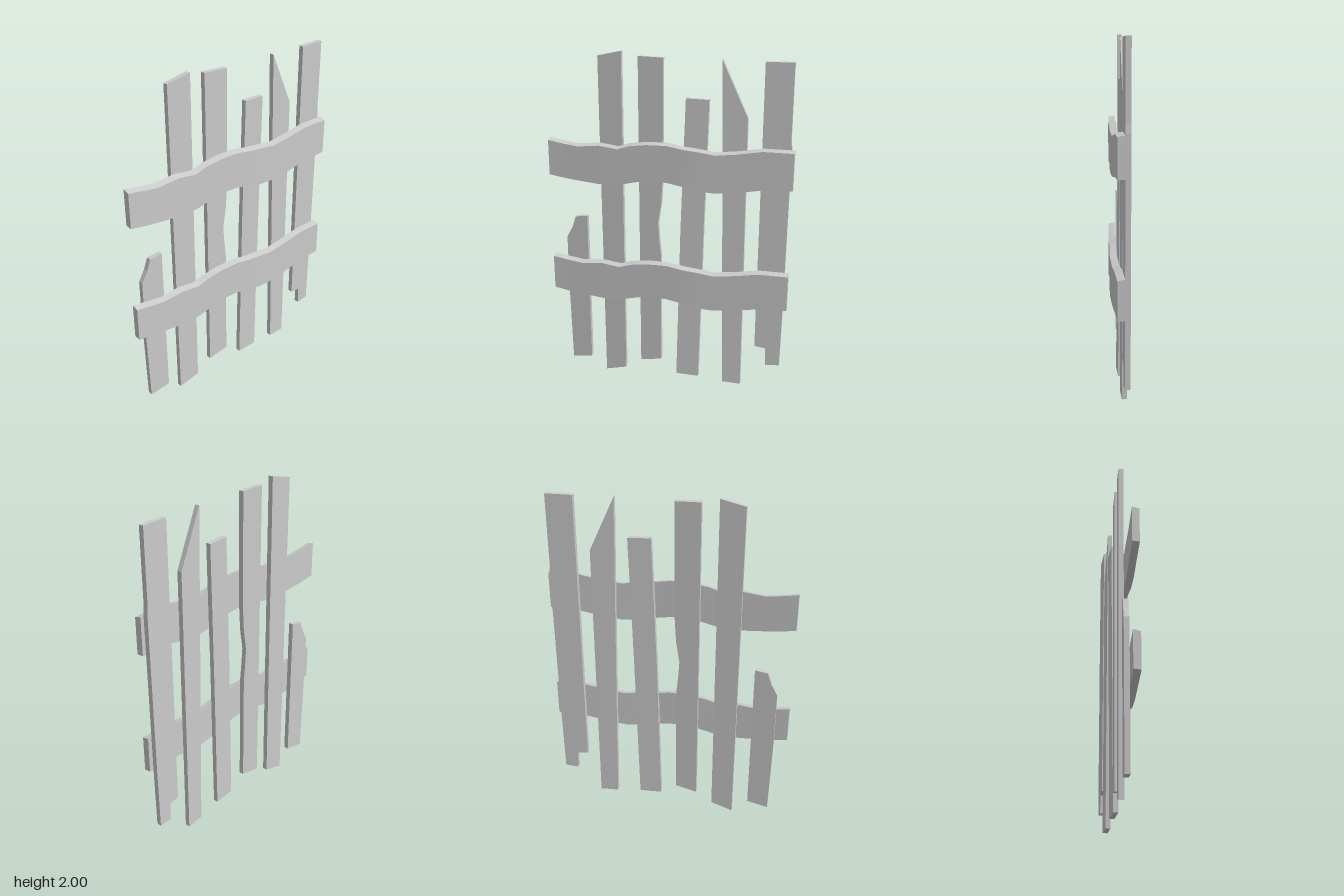
import * as THREE from 'three';

const wood = new THREE.MeshStandardMaterial({ color: 0xcccccc });

// Upright planks: outline in x,y; back z at left and right edge; forward lean at the foot
const planks = [
  { name: 'brokenShortPlank', zl: -0.048, zr: -0.040, lean: 0.005,
    pts: [[-0.625, 0.07], [-0.5, 0.09], [-0.5, 1.025], [-0.575, 1.015], [-0.585, 0.985], [-0.597, 0.95], [-0.635, 0.88], [-0.635, 0.55]] },
  { name: 'tallPlank', zl: -0.044, zr: -0.036, lean: 0,
    pts: [[-0.405, 0.005], [-0.275, 0.04], [-0.27, 2.0], [-0.41, 1.97]] },
  { name: 'chippedPlank', zl: -0.039, zr: -0.033, lean: 0.003,
    pts: [[-0.175, 0.105], [-0.045, 0.13], [-0.045, 0.82], [-0.055, 0.92], [-0.062, 1.02], [-0.042, 1.15], [-0.033, 1.3], [-0.03, 1.97], [-0.175, 1.975]] },
  { name: 'lowPlank', zl: -0.028, zr: -0.036, lean: 0.01,
    pts: [[0.055, 0.05], [0.19, 0.045], [0.21, 1.0], [0.23, 1.75], [0.1, 1.755], [0.075, 1.0]] },
  { name: 'splinteredPlank', zl: -0.03, zr: -0.037, lean: 0.003,
    pts: [[0.34, 0.025], [0.45, 0.02], [0.445, 1.66], [0.3, 1.97]] },
  { name: 'notchedPlank', zl: -0.032, zr: -0.039, lean: 0,
    pts: [[0.53, 0.29], [0.595, 0.28], [0.6, 0.17], [0.68, 0.175], [0.685, 0.55], [0.69, 1.5], [0.685, 1.55], [0.685, 1.965], [0.53, 1.965]] },
];

function makePlank({ name, pts, zl, zr, lean }) {
  const shape = new THREE.Shape(pts.map(([x, y]) => new THREE.Vector2(x, y)));
  const geo = new THREE.ExtrudeGeometry(shape, { depth: 0.029, bevelEnabled: false });
  const xs = pts.map((p) => p[0]);
  const x0 = Math.min(...xs), x1 = Math.max(...xs);
  const p = geo.attributes.position;
  // Twist each plank slightly and lean its foot forward
  for (let i = 0; i < p.count; i++) {
    const t = (p.getX(i) - x0) / (x1 - x0);
    p.setZ(i, p.getZ(i) + zl + (zr - zl) * t + lean * (1 - p.getY(i) / 2));
  }
  geo.computeVertexNormals();
  const mesh = new THREE.Mesh(geo, wood);
  mesh.name = name;
  return mesh;
}

// Rail profile stations: x, bottom y, top y, back z
const stations = [
  [-0.71, 1.28, 1.492, -0.009], [-0.62, 1.265, 1.477, -0.007], [-0.53, 1.255, 1.465, -0.004],
  [-0.4, 1.243, 1.478, 0.001], [-0.29, 1.245, 1.463, 0.003], [-0.22, 1.262, 1.485, 0.004],
  [-0.12, 1.283, 1.498, 0.005], [0, 1.28, 1.5, 0.008], [0.1, 1.262, 1.483, 0.01],
  [0.18, 1.243, 1.475, 0.009], [0.28, 1.235, 1.46, 0.004], [0.4, 1.246, 1.473, 0.001],
  [0.54, 1.27, 1.495, -0.002], [0.71, 1.275, 1.492, -0.009],
];

function makeRail(name, drop) {
  const n = stations.length - 1;
  const geo = new THREE.BoxGeometry(n, 1, 1, n, 1, 1);
  const p = geo.attributes.position;
  // Map each box column onto its station
  for (let i = 0; i < p.count; i++) {
    const [x, bottom, top, back] = stations[Math.round(p.getX(i) + n / 2)];
    const isTop = p.getY(i) > 0, isFront = p.getZ(i) > 0;
    const y = isTop ? top + (isFront ? -0.007 : 0.003) : bottom + (isFront ? 0 : 0.003);
    p.setXYZ(i, x, y - drop, back + (isFront ? 0.04 : 0));
  }
  geo.computeVertexNormals();
  const mesh = new THREE.Mesh(geo, wood);
  mesh.name = name;
  return mesh;
}

export function createModel() {
  const fence = new THREE.Group();
  fence.name = 'woodenFence';
  for (const plank of planks) fence.add(makePlank(plank));
  fence.add(makeRail('upperRail', 0), makeRail('lowerRail', 0.72));
  return fence;
}
